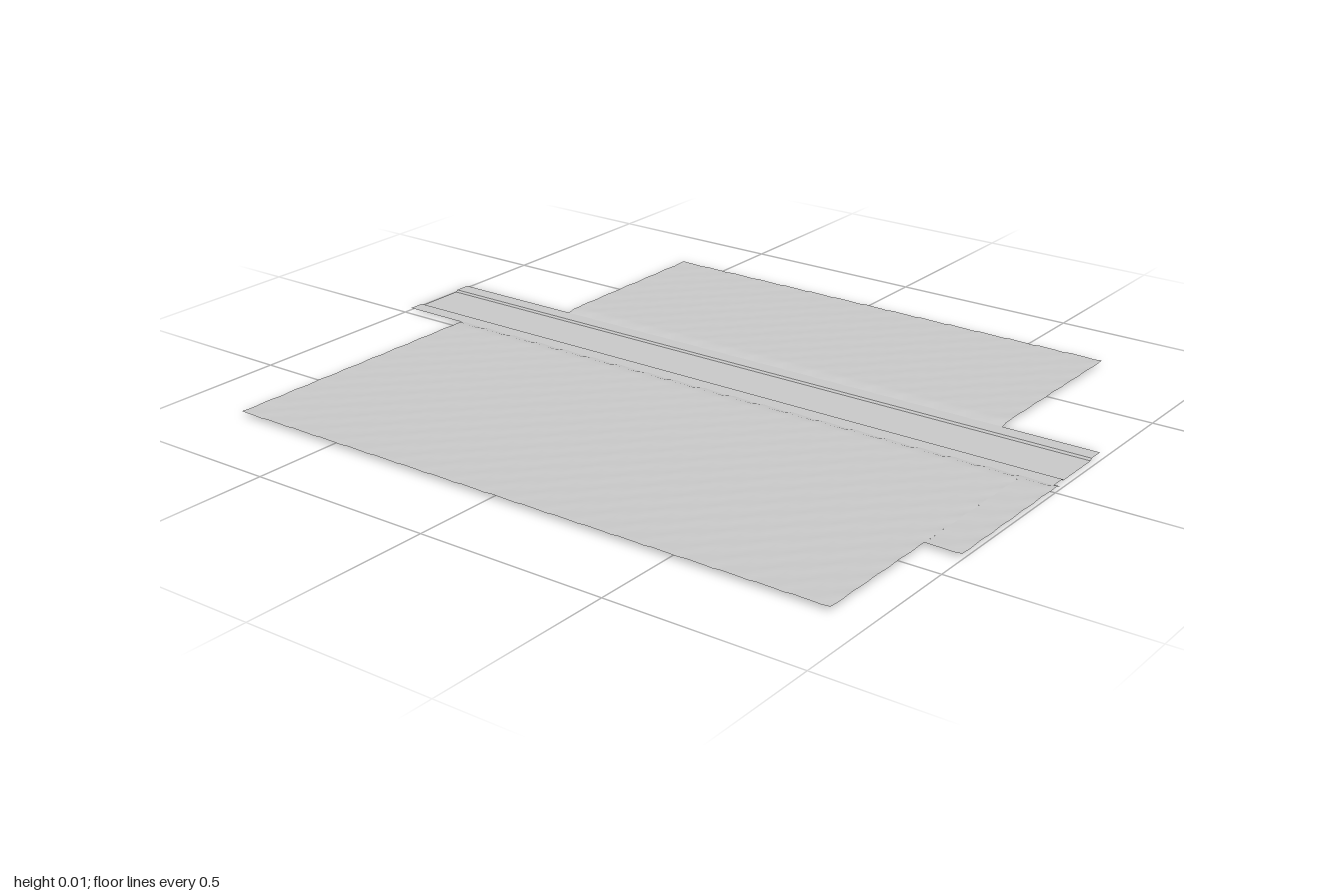
import * as THREE from 'three';

const TILE = 0.09, STEPS = 4;

function grey(flat) {
  return new THREE.MeshStandardMaterial({ color: 0xcccccc, flatShading: flat, side: THREE.DoubleSide });
}

// Gentle bumps that repeat on every tile
function bump(x, z) {
  const u = (x / TILE) * Math.PI * 2, v = (z / TILE) * Math.PI * 2;
  return 0.0009 * Math.sin(u + 0.6) * Math.cos(v) + 0.0005 * Math.cos(2 * u + v);
}

// Field of bumpy tiles; the edge at z = roadEdge drops to the pavement
function field(name, x0, x1, z0, z1, roadEdge) {
  const w = x1 - x0, d = z1 - z0;
  const geo = new THREE.PlaneGeometry(w, d,
    Math.round(w / TILE) * STEPS, Math.round(d / TILE) * STEPS);
  geo.rotateX(-Math.PI / 2);
  geo.translate((x0 + x1) / 2, 0, (z0 + z1) / 2);
  const p = geo.attributes.position;
  for (let i = 0; i < p.count; i++) {
    const x = p.getX(i), z = p.getZ(i);
    const b = bump(x - x0, z - z0);
    const atRoad = Math.abs(z - roadEdge) < 1e-4;
    p.setY(i, atRoad ? 0.0045 + b : 0.0105 + b);
  }
  geo.computeVertexNormals();
  const mesh = new THREE.Mesh(geo, grey(false));
  mesh.name = name;
  return mesh;
}

// Strip along x from two or more (z, y) points of the road's section
function strip(name, section, x0, x1) {
  const pos = [], idx = [];
  section.forEach(([z, y], i) => {
    pos.push(x0, y, z, x1, y, z);
    if (i) {
      const a = 2 * i - 2;
      idx.push(a, a + 2, a + 1, a + 1, a + 2, a + 3);
    }
  });
  const geo = new THREE.BufferGeometry();
  geo.setAttribute('position', new THREE.Float32BufferAttribute(pos, 3));
  geo.setIndex(idx);
  geo.computeVertexNormals();
  const mesh = new THREE.Mesh(geo, grey(true));
  mesh.name = name;
  return mesh;
}

export function createModel() {
  const model = new THREE.Group();
  model.name = 'roadAndFields';

  // Road with a kerb and pavement on each side
  const road = new THREE.Group();
  road.name = 'road';
  const mid = -0.139, half = 0.068, kerb = 0.073, outer = 0.115, top = 0.005;
  const x0 = -1, x1 = 0.983;
  road.add(strip('carriageway', [[mid - half, 0], [mid + half, 0]], x0, x1));
  for (const [side, s] of [['back', -1], ['front', 1]]) {
    const inner = [mid + s * half, 0], lip = [mid + s * kerb, top], edge = [mid + s * outer, top];
    const order = (pts) => (s > 0 ? pts : pts.reverse());
    road.add(strip(side + 'Kerb', order([inner, lip]), x0, x1));
    road.add(strip(side + 'Pavement', order([lip, edge]), x0, x1));
  }
  model.add(road);

  // Back field, front field, and the shorter column beside the front field
  model.add(field('backField', -0.625, 0.725, -0.78, -0.252, -0.252));
  model.add(field('frontField', -0.805, 0.905, -0.028, 0.775, -0.028));
  model.add(field('frontFieldSide', 0.905, 0.997, -0.028, 0.412, -0.028));
  return model;
}
